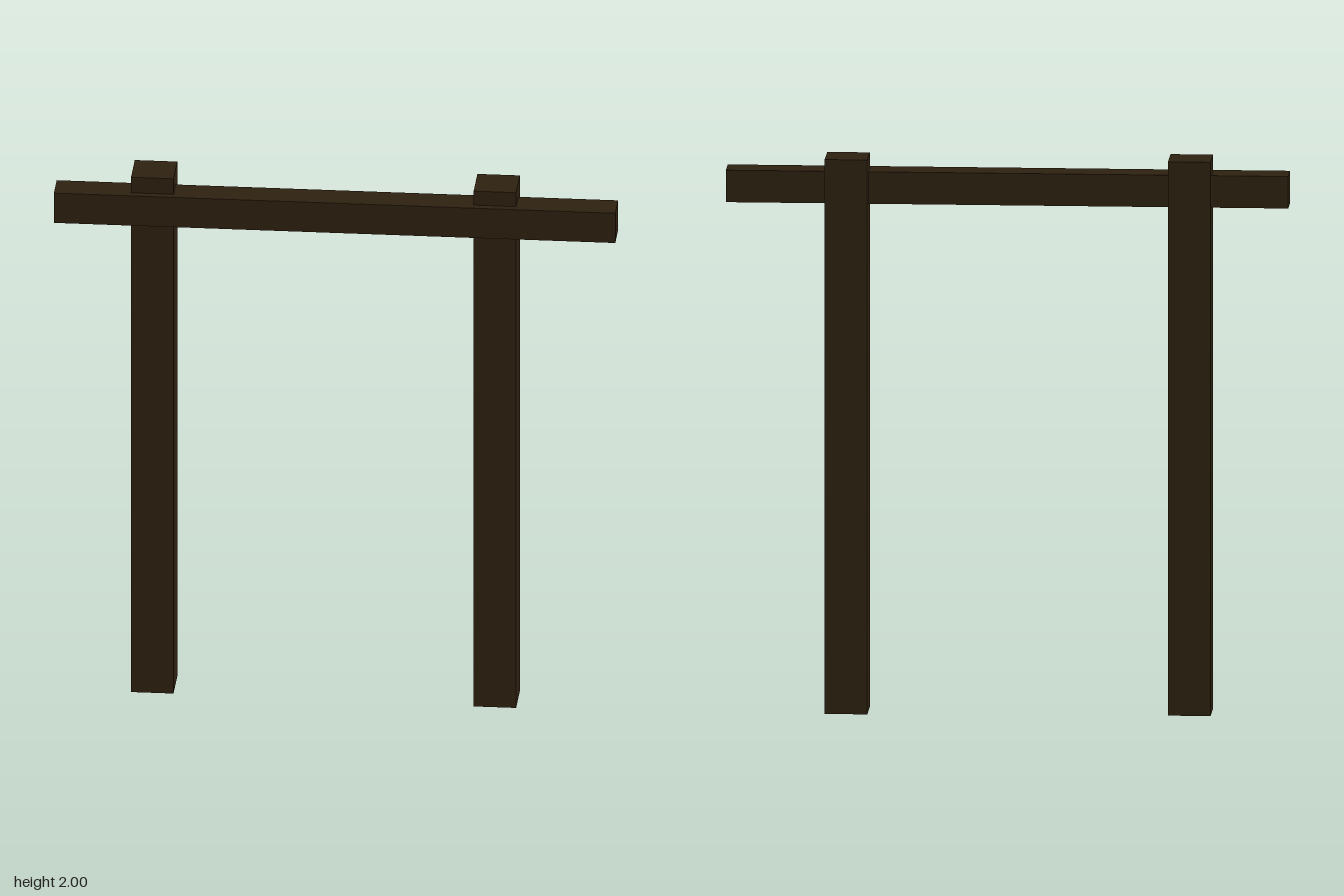
import * as THREE from 'three';

export function createModel() {
  const model = new THREE.Group();
  model.name = 'timberGate';
  const darkWood = new THREE.MeshStandardMaterial({ color: 0x2e2110 });
  darkWood.name = 'darkWood';

  function timber(name, size, position) {
    const mesh = new THREE.Mesh(new THREE.BoxGeometry(...size), darkWood);
    mesh.name = name;
    mesh.position.set(...position);
    model.add(mesh);
  }

  // Crossbeam, with two posts notched into its back
  timber('crossbeam', [1.994, 0.115, 0.113], [0, 1.8825, 0]);
  timber('rightPost', [0.151, 1.992, 0.151], [-0.65, 1.004, -0.046]);
  timber('leftPost', [0.151, 1.994, 0.151], [0.567, 0.997, -0.046]);

  // The whole frame stands turned about the vertical
  model.rotation.y = THREE.MathUtils.degToRad(16.1);
  const root = new THREE.Group();
  root.name = 'gate';
  root.add(model);
  return root;
}
